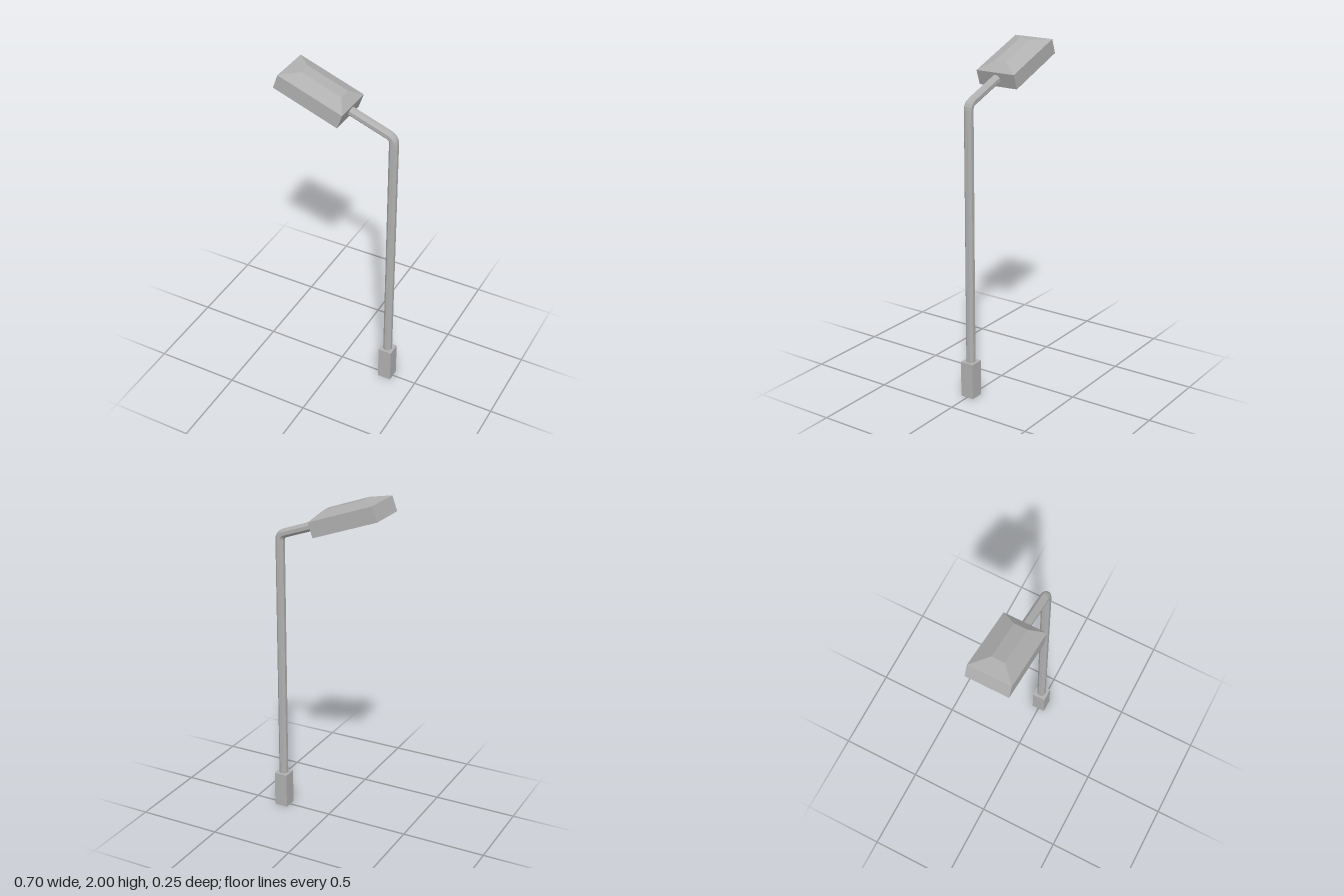
import * as THREE from 'three';

// Flat-faced skin through rings that run counterclockwise about the direction of travel, capped at both ends
function loft(rings) {
  const pos = [];
  const tri = (...pts) => pts.forEach((p) => pos.push(p.x, p.y, p.z));
  const n = rings[0].length;
  for (let k = 0; k < rings.length - 1; k++) {
    const a = rings[k], b = rings[k + 1];
    for (let i = 0; i < n; i++) {
      const j = (i + 1) % n;
      tri(a[i], a[j], b[j]);
      tri(a[i], b[j], b[i]);
    }
  }
  const first = rings[0], last = rings[rings.length - 1];
  for (let i = 1; i < n - 1; i++) {
    tri(first[0], first[i + 1], first[i]);
    tri(last[0], last[i], last[i + 1]);
  }
  const geo = new THREE.BufferGeometry();
  geo.setAttribute('position', new THREE.Float32BufferAttribute(pos, 3));
  geo.computeVertexNormals();
  return geo;
}

export function createModel() {
  const group = new THREE.Group();
  const metal = new THREE.MeshStandardMaterial({ color: 0xb0b0b0, flatShading: true });
  metal.name = 'grey metal';
  const add = (name, geo) => {
    const mesh = new THREE.Mesh(geo, metal);
    mesh.name = name;
    group.add(mesh);
    return mesh;
  };

  const poleX = 0.311;
  const tilt = THREE.MathUtils.degToRad(20);

  // Square foot
  add('base', new THREE.BoxGeometry(0.082, 0.215, 0.082)).position.set(poleX, 0.1075, 0);

  // Octagonal pole bending into the arm
  const ring = (x, y, turn) => Array.from({ length: 8 }, (_, i) => {
    const t = ((i + 0.5) / 8) * Math.PI * 2;
    const r = 0.027 * Math.cos(t);
    return new THREE.Vector3(x + r * Math.cos(turn), y + r * Math.sin(turn), -0.027 * Math.sin(t));
  });
  const bend = Math.PI / 2 - tilt;
  const bendR = 0.043, bendY = 1.696, steps = 4;
  const rings = [ring(poleX, 0.2, 0)];
  for (let i = 0; i <= steps; i++) {
    const a = (bend * i) / steps;
    rings.push(ring(poleX - bendR + bendR * Math.cos(a), bendY + bendR * Math.sin(a), a));
  }
  rings.push(ring(0.04, 1.824, bend));
  add('poleAndArm', loft(rings));

  // Tilted lamp head: recessed underside, straight sides, hipped roof
  const rect = (x0, x1, w, y) => [[x0, w], [x1, w], [x1, -w], [x0, -w]]
    .map(([x, z]) => new THREE.Vector3(x, y, z));
  const length = 0.412, halfWidth = 0.125, rim = 0.013;
  const head = add('lampHead', loft([
    rect(rim, length - rim, halfWidth - rim, 0.012),
    rect(rim, length - rim, halfWidth - rim, 0),
    rect(0, length, halfWidth, 0),
    rect(0, length, halfWidth, 0.09),
    rect(0.089, 0.347, 0.038, 0.123),
  ]));
  head.position.set(-0.353, 1.915, 0);
  head.rotation.z = -tilt;

  return group;
}
